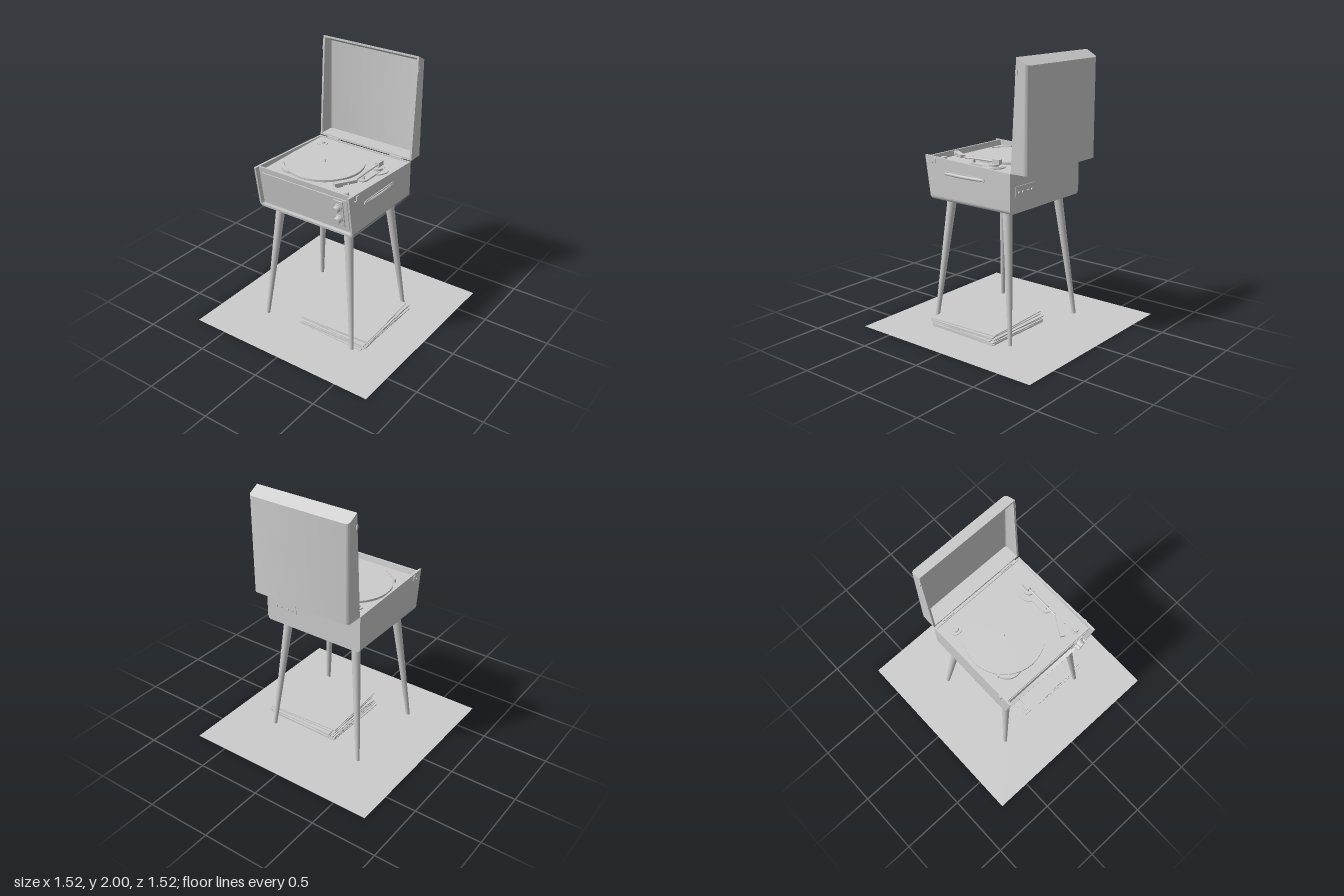
import * as THREE from 'three';
import { toCreasedNormals } from 'three/addons/utils/BufferGeometryUtils.js';

const material = new THREE.MeshStandardMaterial({ color: 0xcccccc, side: THREE.DoubleSide });
const W = 0.4, T = 0.015; // case half width and wall thickness

function add(parent, name, geometry, x = 0, y = 0, z = 0) {
  const mesh = new THREE.Mesh(geometry, material);
  mesh.name = name;
  mesh.position.set(x, y, z);
  parent.add(mesh);
  return mesh;
}
const box = (w, h, d) => new THREE.BoxGeometry(w, h, d);
const disc = (r, h, r2 = r) => new THREE.CylinderGeometry(r, r2, h, 40);
function group(parent, name, x = 0, y = 0, z = 0) {
  const g = new THREE.Group();
  g.name = name;
  g.position.set(x, y, z);
  parent.add(g);
  return g;
}
// Flat shape lying on the xz plane, given height; shape y becomes -z
function slab(shape, height) {
  const g = new THREE.ExtrudeGeometry(shape, { depth: height, bevelEnabled: false, curveSegments: 24 });
  return g.rotateX(-Math.PI / 2);
}
function stadium(length, r) {
  const s = new THREE.Shape();
  s.absarc(length / 2 - r, 0, r, -Math.PI / 2, Math.PI / 2);
  s.absarc(-length / 2 + r, 0, r, Math.PI / 2, Math.PI * 1.5);
  return s;
}

// Half-open tray outline with two rounded corners on its closed side
function trayShape(h, hollow) {
  const s = new THREE.Shape(), r = 0.03, q = r - T, a = W - T;
  s.moveTo(-W, h).lineTo(-W, r);
  s.absarc(-W + r, r, r, Math.PI, Math.PI * 1.5);
  s.absarc(W - r, r, r, -Math.PI / 2, 0);
  s.lineTo(W, h);
  if (hollow) {
    s.lineTo(a, h).lineTo(a, r);
    s.absarc(a - q, r, q, 0, -Math.PI / 2, true);
    s.absarc(-a + q, r, q, -Math.PI / 2, -Math.PI, true);
    s.lineTo(-a, h);
  }
  s.closePath();
  return s;
}
// Extrude a tray section from u0 to u1 and fit it to four [z, y] side corners
function fitted(h, hollow, u0, u1, [closed0, closed1, open0, open1]) {
  const g = new THREE.ExtrudeGeometry(trayShape(h, hollow), { depth: u1 - u0, bevelEnabled: false, curveSegments: 8 });
  const p = g.attributes.position, mix = THREE.MathUtils.lerp;
  for (let i = 0; i < p.count; i++) {
    const u = p.getZ(i) + u0, v = p.getY(i) / h;
    const [z, y] = [0, 1].map(k => mix(mix(closed0[k], closed1[k], u), mix(open0[k], open1[k], u), v));
    p.setXYZ(i, p.getX(i), y, z);
  }
  return toCreasedNormals(g, 0.5);
}

function buildCabinet(root) {
  const g = group(root, 'cabinet');
  const corners = [[-0.315, 0.95], [0.405, 0.95], [-0.315, 1.232], [0.455, 1.268]];
  add(g, 'cabinetShell', fitted(0.29, true, 0, 1, corners));
  add(g, 'cabinetBack', fitted(0.29, false, 0, 0.02, corners));
  add(g, 'cabinetFront', fitted(0.29, false, 0.938, 0.955, corners));
  add(g, 'deck', box(2 * (W - T), 0.015, 0.72), 0, 1.2175, 0.05);

  // Sloping speaker panel with controls
  const front = group(g, 'frontPanel', 0, 1.107, 0.396);
  front.rotation.x = 0.157;
  add(front, 'grille', box(0.72, 0.238, 0.012));
  add(front, 'controlPlate', box(0.075, 0.21, 0.012), 0.29, 0, 0.008);
  for (const y of [0.05, -0.04]) {
    add(front, 'knobCollar', disc(0.032, 0.01).rotateX(Math.PI / 2), 0.29, y, 0.018);
    add(front, 'knob', disc(0.023, 0.035, 0.026).rotateX(Math.PI / 2), 0.29, y, 0.036);
  }
  for (const x of [0.275, 0.305]) add(front, 'socket', disc(0.006, 0.008).rotateX(Math.PI / 2), x, -0.088, 0.016);

  // Side handle: flat strap between two end caps
  const handle = group(g, 'handle', W, 1.155, 0.09);
  const strap = new THREE.ExtrudeGeometry(stadium(0.37, 0.018), { depth: 0.006, bevelEnabled: false });
  add(handle, 'handleBase', strap.rotateY(Math.PI / 2));
  const arch = new THREE.QuadraticBezierCurve3(
    new THREE.Vector3(0, 0, -0.17), new THREE.Vector3(0.022, 0, 0), new THREE.Vector3(0, 0, 0.17));
  add(handle, 'handleGrip', new THREE.TubeGeometry(arch, 24, 0.009, 8)).scale.y = 1.3;

  // Rear connection plate
  const rear = group(g, 'connectionPlate', 0.24, 1.1, -0.317);
  add(rear, 'plate', box(0.2, 0.07, 0.006));
  for (const x of [-0.07, -0.03, 0.03, 0.07])
    add(rear, 'jack', disc(0.009, 0.012).rotateX(Math.PI / 2), x, -0.01, -0.005);
}

function buildLid(root) {
  const g = group(root, 'lid');
  const corners = [[-0.455, 1.95], [-0.455, 1.235], [-0.365, 2], [-0.32, 1.235]];
  add(g, 'lidShell', fitted(0.12, true, 0, 1, corners));
  add(g, 'lidTopWall', fitted(0.12, false, 0, 0.02, corners));
  add(g, 'lidBottomWall', fitted(0.12, false, 0.98, 1, corners));
  for (const s of [-1, 1]) {
    add(g, 'hinge', box(0.1, 0.02, 0.022), s * 0.275, 1.232, -0.318);
    add(g, 'hingePin', disc(0.008, 0.1).rotateZ(Math.PI / 2), s * 0.275, 1.23, -0.326);
    add(g, 'lidCatch', box(0.01, 0.028, 0.014), s * 0.402, 1.905, -0.369);
    add(g, 'latch', box(0.012, 0.035, 0.022), s * 0.402, 1.235, 0.36);
    add(g, 'latchPin', disc(0.006, 0.014).rotateZ(Math.PI / 2), s * 0.402, 1.22, 0.385);
  }
}

function buildTurntable(root) {
  const g = group(root, 'turntable', 0, 1.225, 0);
  const cx = -0.083, cz = 0.053;
  add(g, 'platter', disc(0.285, 0.016), cx, 0.008, cz);
  add(g, 'spindle', disc(0.005, 0.03), cx, 0.02, cz);

  // Single adapter in its holder
  add(g, 'adapterDish', disc(0.04, 0.008), -0.3, 0.004, -0.207);
  add(g, 'adapter', disc(0.018, 0.016, 0.024), -0.3, 0.01, -0.207);

  // Crescent speed lever hugging the platter
  const lever = new THREE.Shape();
  lever.absarc(0, 0, 0.289, 3.83, 4.36, false);
  lever.quadraticCurveTo(-0.19, -0.29, -0.235, -0.192);
  add(g, 'speedLever', slab(lever, 0.02), cx, 0, cz);
  add(g, 'leverTip', disc(0.01, 0.026), -0.31, 0.013, 0.243);

  // Tonearm base, pivot, arm and head
  const arm = group(g, 'tonearm', 0.273, 0, -0.075);
  add(arm, 'armBase', disc(0.08, 0.008), 0, 0.004, 0);
  add(arm, 'armRestPlate', slab(stadium(0.28, 0.037), 0.011).rotateY(Math.PI / 2), 0, 0, 0.075);
  add(arm, 'pivot', disc(0.038, 0.022), 0, 0.014, 0);
  add(arm, 'pivotHousing', box(0.03, 0.034, 0.06), 0, 0.042, -0.025);
  const path = new THREE.CatmullRomCurve3([[0, 0.042, -0.05], [0, 0.04, 0.12], [0, 0.036, 0.25], [0.004, 0.036, 0.285]]
    .map(p => new THREE.Vector3(...p)));
  add(arm, 'armTube', new THREE.TubeGeometry(path, 24, 0.007, 10));
  add(arm, 'armRest', box(0.024, 0.03, 0.012), 0.004, 0.018, 0.18);
  const head = group(arm, 'headshell', -0.03, 0.042, 0.345);
  head.rotation.y = -0.55;
  add(head, 'headBody', box(0.036, 0.022, 0.165));
  add(head, 'cartridge', box(0.022, 0.02, 0.05), 0, -0.014, 0.045);
  add(head, 'fingerLift', box(0.03, 0.004, 0.008), 0.03, 0, -0.01);

  add(g, 'powerKnobCollar', disc(0.027, 0.008), 0.31, 0.004, 0.357);
  add(g, 'powerKnob', disc(0.02, 0.025, 0.022), 0.31, 0.014, 0.357);
}

function buildLegs(root) {
  const up = new THREE.Vector3(0, 1, 0);
  for (const s of [-1, 1]) for (const [zTop, zFoot] of [[0.3, 0.388], [-0.207, -0.305]]) {
    const top = new THREE.Vector3(s * 0.293, 0.945, zTop), foot = new THREE.Vector3(s * 0.387, 0.012, zFoot);
    const dir = top.clone().sub(foot), mid = top.clone().add(foot).multiplyScalar(0.5);
    const leg = add(root, 'leg', new THREE.CylinderGeometry(0.034, 0.015, dir.length(), 24), ...mid.toArray());
    leg.quaternion.setFromUnitVectors(up, dir.normalize());
    add(root, 'legMount', disc(0.048, 0.014), top.x, 0.943, zTop);
  }
}

// Untidy stack of record sleeves
function buildRecords(root) {
  const g = group(root, 'recordStack', 0.19, 0, 0.055);
  let seed = 7;
  const jitter = a => ((seed = (seed * 16807) % 2147483647) / 2147483647 - 0.5) * a;
  for (let i = 0; i < 10; i++) {
    const sleeve = add(g, 'recordSleeve', box(0.57, 0.006, 0.57), jitter(0.04), 0.009 + i * 0.0085, jitter(0.04));
    sleeve.rotation.y = jitter(0.12);
  }
}

export function createModel() {
  const root = new THREE.Group();
  root.name = 'recordPlayer';
  add(root, 'floor', new THREE.PlaneGeometry(1.52, 1.52).rotateX(-Math.PI / 2));
  buildCabinet(root);
  buildLid(root);
  buildTurntable(root);
  buildLegs(root);
  buildRecords(root);
  return root;
}
